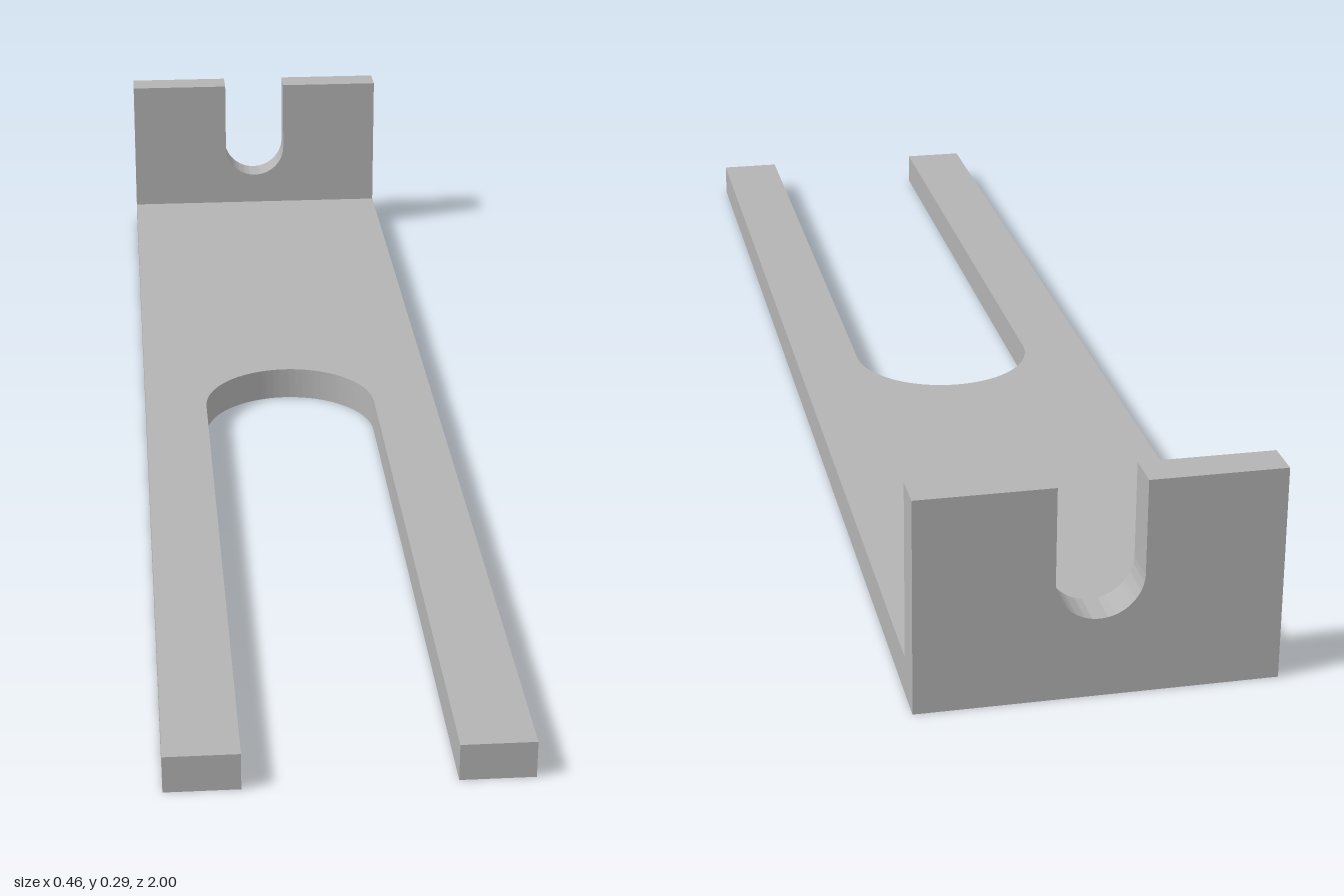
import * as THREE from 'three';
import { toCreasedNormals } from 'three/addons/utils/BufferGeometryUtils.js';

const HALF_WIDTH = 0.232;
const THICKNESS = 0.051;

// Plate from v0 to v1 with a round-bottomed slot open at v1
function slottedPlate(v0, v1, slotRadius, slotCentre) {
  const s = new THREE.Shape();
  s.moveTo(-HALF_WIDTH, v0);
  s.lineTo(HALF_WIDTH, v0);
  s.lineTo(HALF_WIDTH, v1);
  s.lineTo(slotRadius, v1);
  s.lineTo(slotRadius, slotCentre);
  s.absarc(0, slotCentre, slotRadius, 0, -Math.PI, true);
  s.lineTo(-slotRadius, v1);
  s.lineTo(-HALF_WIDTH, v1);
  s.closePath();
  const geometry = new THREE.ExtrudeGeometry(s, {
    depth: THICKNESS, bevelEnabled: false, curveSegments: 40,
  });
  return toCreasedNormals(geometry, 0.5);
}

export function createModel() {
  const group = new THREE.Group();
  group.name = 'slottedBracket';
  const steel = new THREE.MeshStandardMaterial({ color: 0xb3b3b3 });
  steel.name = 'steel grey';

  // Long forked base, lying flat with its slot open to the front
  const base = new THREE.Mesh(slottedPlate(-1, 1, 0.135, -0.005), steel);
  base.name = 'forkedBase';
  base.rotation.x = Math.PI / 2;
  base.position.y = THICKNESS;

  // Upright flange at the back, its slot open at the top
  const flange = new THREE.Mesh(slottedPlate(THICKNESS, 0.288, 0.056, 0.163), steel);
  flange.name = 'uprightFlange';
  flange.position.z = -1;

  group.add(base, flange);
  return group;
}
